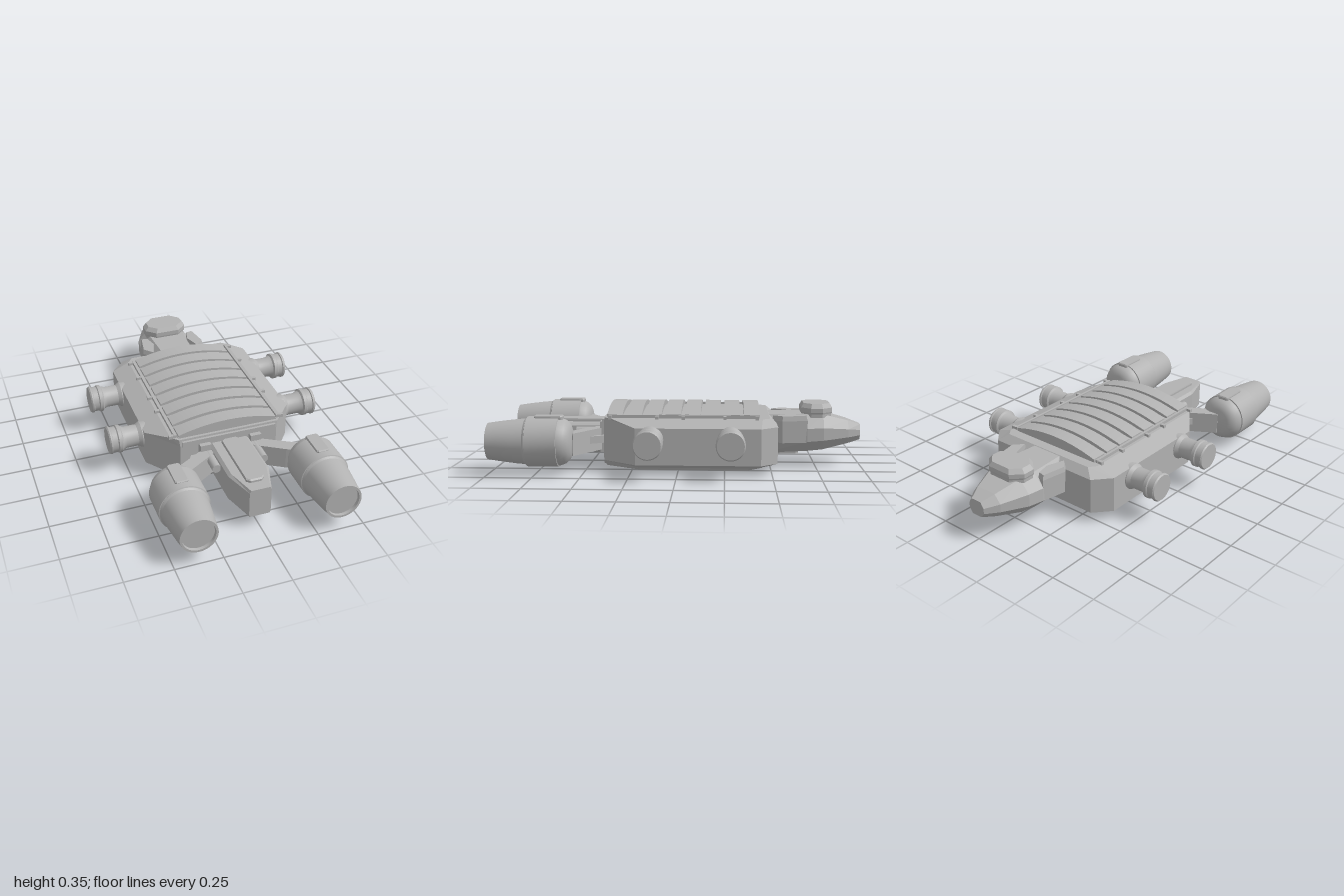
import * as THREE from 'three';
import { toCreasedNormals } from 'three/addons/utils/BufferGeometryUtils.js';

const hullGrey = new THREE.MeshStandardMaterial({ color: 0xb2b2b2 });
hullGrey.name = 'hull grey';

// Closed solid through convex rings of equal point count, with flat facets
function loft(rings) {
  const pos = [];
  const tri = (a, b, c) => pos.push(...a, ...b, ...c);
  const n = rings[0].length, last = rings[rings.length - 1];
  for (let r = 0; r < rings.length - 1; r++) {
    for (let i = 0; i < n; i++) {
      const j = (i + 1) % n, A = rings[r], B = rings[r + 1];
      tri(A[i], A[j], B[j]);
      tri(A[i], B[j], B[i]);
    }
  }
  for (let i = 1; i < n - 1; i++) {
    tri(rings[0][0], rings[0][i + 1], rings[0][i]);
    tri(last[0], last[i], last[i + 1]);
  }
  // Turn the faces outward when the enclosed volume comes out negative
  let vol = 0;
  const v = [0, 1, 2].map(() => new THREE.Vector3());
  for (let i = 0; i < pos.length; i += 9) {
    v.forEach((p, k) => p.fromArray(pos, i + 3 * k));
    vol += v[0].dot(v[1].clone().cross(v[2]));
  }
  if (vol < 0) {
    for (let i = 0; i < pos.length; i += 9) {
      for (let k = 0; k < 3; k++) {
        [pos[i + 3 + k], pos[i + 6 + k]] = [pos[i + 6 + k], pos[i + 3 + k]];
      }
    }
  }
  const g = new THREE.BufferGeometry();
  g.setAttribute('position', new THREE.Float32BufferAttribute(pos, 3));
  g.computeVertexNormals();
  return g;
}

// Plan outline [x, z] lifted to height y, scaled about (cx, cz)
const lift = (plan, y, s = 1, cx = 0, cz = 0) =>
  plan.map(([x, z]) => [cx + (x - cx) * s, y, cz + (z - cz) * s]);

// Plan outline with cut corners: nose side at z0, tail side at z1
const octagon = (w, z0, z1, wf, zf, wb, zb) =>
  [[wf, z0], [w, zf], [w, zb], [wb, z1], [-wb, z1], [-w, zb], [-w, zf], [-wf, z0]];

const chamfered = (w, z0, z1, c) => octagon(w, z0, z1, w - c, z0 + c, w - c, z1 - c);

function lathe(profile, segments = 36) {
  const pts = profile.map(([r, y]) => new THREE.Vector2(r, y));
  return toCreasedNormals(new THREE.LatheGeometry(pts, segments), 0.5);
}

// Solid under a shallow arch, running along z
function archGeometry(w, yBase, yEdge, yPeak, depth) {
  const s = new THREE.Shape();
  s.moveTo(-w, yBase);
  s.lineTo(w, yBase);
  s.lineTo(w, yEdge);
  s.quadraticCurveTo(0, 2 * yPeak - yEdge, -w, yEdge);
  return toCreasedNormals(
    new THREE.ExtrudeGeometry(s, { depth, bevelEnabled: false, curveSegments: 16 }), 0.4);
}

export function createModel() {
  const model = new THREE.Group();
  const add = (name, geometry, x = 0, y = 0, z = 0) => {
    const m = new THREE.Mesh(geometry, hullGrey);
    m.name = name;
    m.position.set(x, y, z);
    model.add(m);
    return m;
  };
  const box = (name, w, h, d, x, y, z) => add(name, new THREE.BoxGeometry(w, h, d), x, y, z);

  // Main hull with sloping shoulders
  const wide = octagon(0.41, -0.53, 0.4, 0.33, -0.44, 0.27, 0.22);
  add('hull', loft([
    lift(octagon(0.37, -0.49, 0.4, 0.29, -0.41, 0.25, 0.2), 0.035),
    lift(wide, 0.055),
    lift(wide, 0.25),
    lift(octagon(0.31, -0.49, 0.395, 0.28, -0.45, 0.275, 0.36), 0.288),
  ]));

  // Belly plate and its three raised panels
  add('bellyPlate', loft([
    lift(octagon(0.34, -0.45, 0.39, 0.26, -0.37, 0.22, 0.2), 0.018),
    lift(octagon(0.355, -0.465, 0.4, 0.275, -0.385, 0.235, 0.21), 0.038),
  ]));
  for (const [z0, z1] of [[-0.31, -0.15], [-0.08, 0.08], [0.15, 0.31]]) {
    const c = (z0 + z1) / 2;
    const plan = chamfered(0.215, z0, z1, 0.025);
    add('bellyPanel', loft([lift(plan, 0, 0.96, 0, c), lift(plan, 0.008, 1, 0, c), lift(plan, 0.022, 1, 0, c)]));
  }

  // Arched roof: low core and eight separate slabs
  add('roofCore', archGeometry(0.275, 0.27, 0.293, 0.315, 0.81), 0, 0, -0.43);
  for (let i = 0; i < 8; i++) {
    add('roofSlab', archGeometry(0.272, 0.27, 0.305, 0.346, 0.083), 0, 0, -0.434 + i * 0.1045);
  }

  for (const s of [1, -1]) {
    // Roof rails with clips
    box('roofRail', 0.014, 0.03, 0.8, s * 0.287, 0.29, -0.03);
    for (const z of [-0.42, -0.25, -0.03, 0.11, 0.36]) {
      box('railClip', 0.03, 0.018, 0.018, s * 0.305, 0.293, z);
    }

    // Side pods
    for (const z of [-0.28, 0.14]) {
      const pod = add('sidePod', lathe([
        [0.07, 0.38], [0.07, 0.415], [0.058, 0.435], [0.058, 0.5], [0.066, 0.52],
        [0.076, 0.527], [0.076, 0.545], [0.07, 0.55], [0.07, 0.577], [0.076, 0.58],
        [0.076, 0.588], [0.07, 0.595], [0, 0.595],
      ], 28).rotateZ(-Math.PI / 2), 0, 0.19, z);
      pod.rotation.y = s > 0 ? 0 : Math.PI;
    }

    // Engines: domed nose, banded barrel, tapered nozzle
    const ex = s * 0.375, ey = 0.172;
    add('engine', lathe([
      [0, 0.553], [0.07, 0.555], [0.095, 0.565], [0.115, 0.585], [0.125, 0.61],
      [0.128, 0.63], [0.128, 0.79], [0.121, 0.8], [0.117, 0.85], [0.106, 0.94],
      [0.097, 1], [0.085, 1], [0.083, 0.985], [0, 0.985],
    ]).rotateX(Math.PI / 2), ex, ey);
    add('engineBand', lathe([
      [0.12, 0.62], [0.133, 0.622], [0.133, 0.786], [0.12, 0.792],
    ]).rotateX(Math.PI / 2), ex, ey);
    const hatch = chamfered(0.034, 0.6, 0.75, 0.008);
    add('engineHatch', loft([lift(hatch, 0.11), lift(hatch, 0.134), lift(hatch, 0.14, 0.94, 0, 0.675)]), ex, ey);

    // Engine struts, thin brace and rod
    const strut = [[0.1, 0.39], [0.16, 0.42], [0.38, 0.55], [0.36, 0.61], [0.26, 0.56], [0.14, 0.485], [0.09, 0.45]]
      .map(([x, z]) => [s * x, z]);
    add('engineStrut', loft([lift(strut, 0.095), lift(strut, 0.215)]));
    const brace = [[0.17, 0.38], [0.2, 0.38], [0.27, 0.5], [0.24, 0.5]].map(([x, z]) => [s * x, z]);
    add('strutBrace', loft([lift(brace, 0.14), lift(brace, 0.18)]));
    add('rod', new THREE.CylinderGeometry(0.024, 0.024, 0.19, 20).rotateX(Math.PI / 2), s * 0.13, 0.192, 0.475);
    box('strutBracket', 0.06, 0.17, 0.05, s * 0.14, 0.165, 0.41);

    // Cheek fins beside the head
    const cheek = [[0.165, -0.7], [0.19, -0.56], [0.14, -0.505], [0.105, -0.61], [0.125, -0.69]]
      .map(([x, z]) => [s * x, z]);
    add('cheekFin', loft([lift(cheek, 0.14, 0.94, s * 0.13, -0.61), lift(cheek, 0.26),
      lift(cheek, 0.287, 0.9, s * 0.13, -0.61)]));
  }

  // Back edge strip
  box('backStrip', 0.52, 0.03, 0.02, 0, 0.262, 0.4);

  // Head: eight-sided sections narrowing to a blunt nose
  const headRing = ([z, w, lo, hi]) => {
    const h = hi - lo, a = lo + h * 0.3, b = lo + h * 0.65;
    return [[w * 0.6, lo], [w, a], [w, b], [w * 0.62, hi], [-w * 0.62, hi], [-w, b], [-w, a], [-w * 0.6, lo]]
      .map(([x, y]) => [x, y, z]);
  };
  add('head', loft([
    [-0.48, 0.14, 0.07, 0.285], [-0.7, 0.165, 0.083, 0.288], [-0.79, 0.155, 0.092, 0.287],
    [-0.93, 0.095, 0.122, 0.25], [-1, 0.05, 0.14, 0.225],
  ].map(headRing)));
  const chin = chamfered(0.06, -0.66, -0.54, 0.015);
  add('chinPanel', loft([lift(chin, 0.06), lift(chin, 0.09)]));

  // Cupola on the head
  const cupola = octagon(0.125, -0.84, -0.67, 0.07, -0.785, 0.07, -0.72);
  add('cupolaBase', loft([lift(cupola, 0.27, 0.95, 0, -0.755), lift(cupola, 0.293, 0.95, 0, -0.755)]));
  add('cupola', loft([
    lift(cupola, 0.29, 0.98, 0, -0.755), lift(cupola, 0.298, 1, 0, -0.755),
    lift(cupola, 0.322, 1, 0, -0.755), lift(cupola, 0.346, 0.84, 0, -0.755),
  ]));

  // Tail boom with raised strips above and below
  const boom = (inset) => octagon(0.11 - inset, 0.38, 0.84, 0.109 - inset, 0.381, 0.058 - inset / 2, 0.68);
  add('tailBoom', loft([
    lift(boom(0.01), 0.068), lift(boom(0), 0.08), lift(boom(0), 0.218), lift(boom(0.015), 0.232),
  ]));
  const strip = chamfered(0.048, 0.4, 0.78, 0.018);
  add('boomTopStrip', loft([lift(strip, 0.22), lift(strip, 0.243), lift(strip, 0.249, 0.96, 0, 0.59)]));
  const keel = chamfered(0.055, 0.52, 0.72, 0.015);
  add('boomKeelPanel', loft([lift(keel, 0.057), lift(keel, 0.075)]));

  return model;
}
